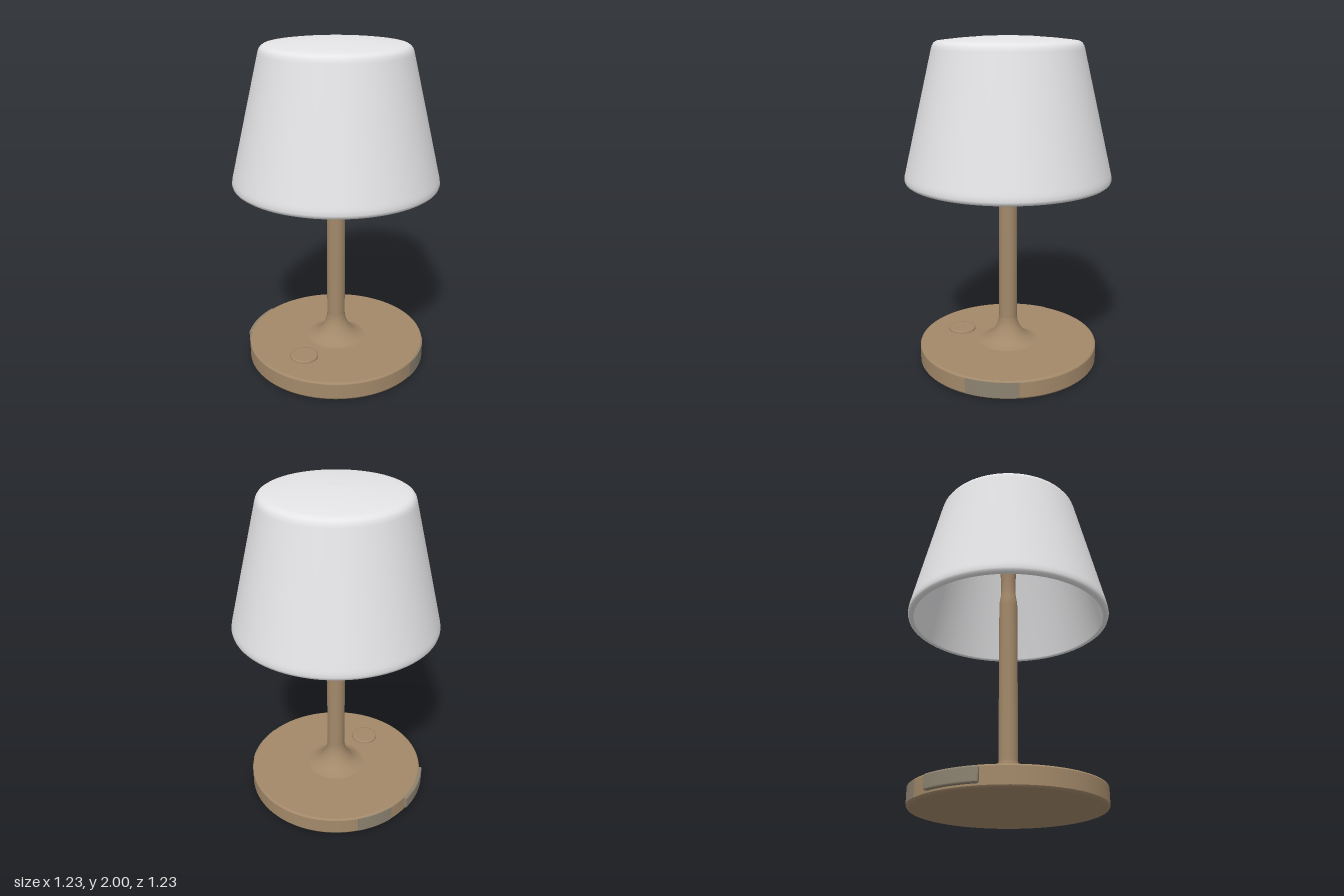
import * as THREE from 'three';

const bronze = new THREE.MeshStandardMaterial({ color: 0xa3896a });
bronze.name = 'bronze';
const grey = new THREE.MeshStandardMaterial({ color: 0x8c8270 });
grey.name = 'warmGrey';
const white = new THREE.MeshStandardMaterial({ color: 0xe8e8ea });
white.name = 'shadeWhite';

const vec = ([r, y]) => new THREE.Vector2(r, y);

function add(group, name, geometry, material) {
  const mesh = new THREE.Mesh(geometry, material);
  mesh.name = name;
  group.add(mesh);
  return mesh;
}

// Surface of revolution from [radius, height] pairs, listed bottom to top on the outside
const lathe = (points) => new THREE.LatheGeometry(points.map(vec), 96);

// Block following the rim of the base between two angles (degrees, counterclockwise from +x seen from above)
function rimBlock(r0, r1, from, to, y0, y1, bevel) {
  const a = THREE.MathUtils.degToRad(from), b = THREE.MathUtils.degToRad(to);
  const shape = new THREE.Shape();
  shape.absarc(0, 0, r1 - bevel, a, b, false);
  shape.absarc(0, 0, r0, b, a, true);
  const geometry = new THREE.ExtrudeGeometry(shape, {
    depth: y1 - y0 - 2 * bevel, curveSegments: 24,
    bevelEnabled: bevel > 0, bevelSize: bevel, bevelThickness: bevel, bevelSegments: 4,
  });
  return geometry.rotateX(-Math.PI / 2).translate(0, y0 + bevel, 0);
}

export function createModel() {
  const lamp = new THREE.Group();
  lamp.name = 'tableLamp';

  // Round base with slightly softened edges
  add(lamp, 'base', lathe([
    [0, 0], [0.54, 0], [0.54, 0], [0.549, 0.003], [0.555, 0.012], [0.555, 0.012],
    [0.555, 0.105], [0.555, 0.105], [0.552, 0.112], [0.545, 0.115], [0.545, 0.115], [0, 0.115],
  ]), bronze);

  // Touch button on the front of the base
  const button = add(lamp, 'button', lathe([
    [0.085, 0.11], [0.085, 0.122], [0.082, 0.128], [0.075, 0.13], [0.075, 0.13], [0, 0.13],
  ]), bronze);
  button.position.set(0.03, 0, 0.33);

  // Rim fittings: one raised slider and two flush panels
  add(lamp, 'slider', rimBlock(0.5, 0.572, 184, 215, 0.022, 0.11, 0.012), grey);
  add(lamp, 'leftPanel', rimBlock(0.55, 0.558, 4, 37, 0.012, 0.108, 0), grey);
  add(lamp, 'rightPanel', rimBlock(0.55, 0.558, 146, 170, 0.012, 0.108, 0), grey);

  // Stem with a trumpet foot and a slim neck inside the shade
  const flare = new THREE.SplineCurve([
    [0.19, 0.113], [0.15, 0.127], [0.11, 0.155], [0.08, 0.195], [0.063, 0.235], [0.056, 0.275],
  ].map(vec)).getPoints(24);
  const neck = new THREE.SplineCurve([
    [0.056, 1.27], [0.053, 1.3], [0.046, 1.35], [0.045, 1.42], [0.05, 1.5], [0.056, 1.56], [0.056, 1.95],
  ].map(vec)).getPoints(36);
  add(lamp, 'stem', new THREE.LatheGeometry([...flare, ...neck], 48), bronze);

  // Hollow tapered shade: inner wall, rolled rim, outer wall, domed top
  add(lamp, 'shade', lathe([
    [0, 1.96], [0.36, 1.935], [0.395, 1.915], [0.41, 1.87], [0.575, 1.19], [0.578, 1.16],
    [0.584, 1.152], [0.6, 1.152], [0.611, 1.16], [0.616, 1.175], [0.613, 1.2], [0.608, 1.22],
    [0.525, 1.57], [0.44, 1.925], [0.434, 1.945], [0.424, 1.96], [0.408, 1.97], [0.38, 1.974],
    [0.28, 1.985], [0.15, 1.995], [0, 2],
  ]), white);

  return lamp;
}
